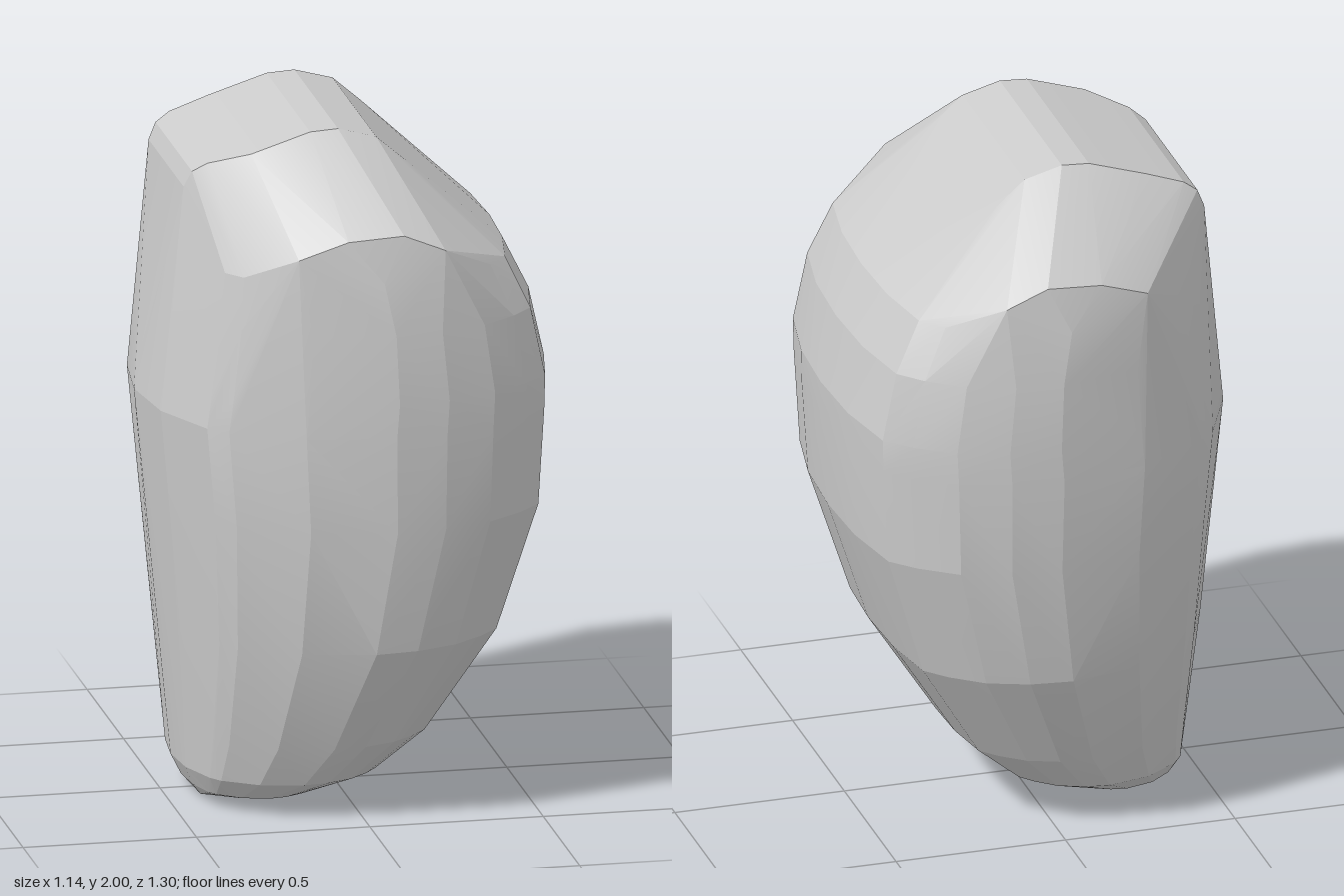
import * as THREE from 'three';
import { ConvexGeometry } from 'three/addons/geometries/ConvexGeometry.js';
import { toCreasedNormals } from 'three/addons/utils/BufferGeometryUtils.js';

// Half outline of a horizontal section: u runs along x, w is the share of the half depth
const outline = [
  [-1, 0], [-0.95, 0.36], [-0.79, 0.67], [-0.7, 0.76], [-0.35, 0.93], [0.09, 1],
  [0.35, 0.975], [0.6, 0.9], [0.79, 0.78], [0.91, 0.67], [0.98, 0.35], [1, 0],
];

// Sections from bottom to top: y, lowest x, highest x, half depth
const sections = [
  [0.04, -0.44, -0.08, 0.3],
  [0.1, -0.47, 0.09, 0.39],
  [0.22, -0.48, 0.23, 0.46],
  [0.53, -0.51, 0.43, 0.585],
  [0.9, -0.545, 0.55, 0.64],
  [1.18, -0.575, 0.568, 0.648],
  [1.28, -0.56, 0.57, 0.648],
  [1.48, -0.525, 0.525, 0.643],
  [1.63, -0.5, 0.45, 0.622],
];

// Ridge of the crown as x, y, extruded along z; the front left corner is cut off
const crown = [
  [-0.47, 1.82, 0.18], [-0.45, 1.87, 0.2], [-0.41, 1.9, 0.23], [-0.3, 1.94, 0.3],
  [-0.13, 1.995, 0.3], [-0.05, 2, 0.3], [0.06, 1.97, 0.3], [0.14, 1.9, 0.3],
];

// Rounded shoulder below the crown: x, y, half depth
const shoulder = [[-0.22, 1.7, 0.575], [-0.08, 1.75, 0.59], [0.08, 1.76, 0.592], [0.2, 1.71, 0.59]];

export function createModel() {
  const points = [];
  const add = (x, y, z) => points.push(new THREE.Vector3(x, y, z));

  // Body
  for (const [y, x0, x1, depth] of sections) {
    for (const [u, w] of outline) {
      const x = (x0 + x1) / 2 + (u * (x1 - x0)) / 2;
      add(x, y, w * depth);
      if (w > 0) add(x, y, -w * depth);
    }
  }
  // Crown and shoulder
  for (const [x, y, front] of crown) {
    add(x, y, front);
    add(x, y, -0.3);
  }
  for (const [x, y, depth] of shoulder) {
    add(x, y, depth);
    add(x, y, -depth);
  }
  // Foot
  for (const z of [-0.08, 0.08]) add(-0.4, 0, z);

  const mesh = new THREE.Mesh(
    toCreasedNormals(new ConvexGeometry(points), 0.2),
    new THREE.MeshStandardMaterial({ color: 0xcccccc }),
  );
  mesh.name = 'stone';
  const group = new THREE.Group();
  group.name = 'boulder';
  group.add(mesh);
  return group;
}
